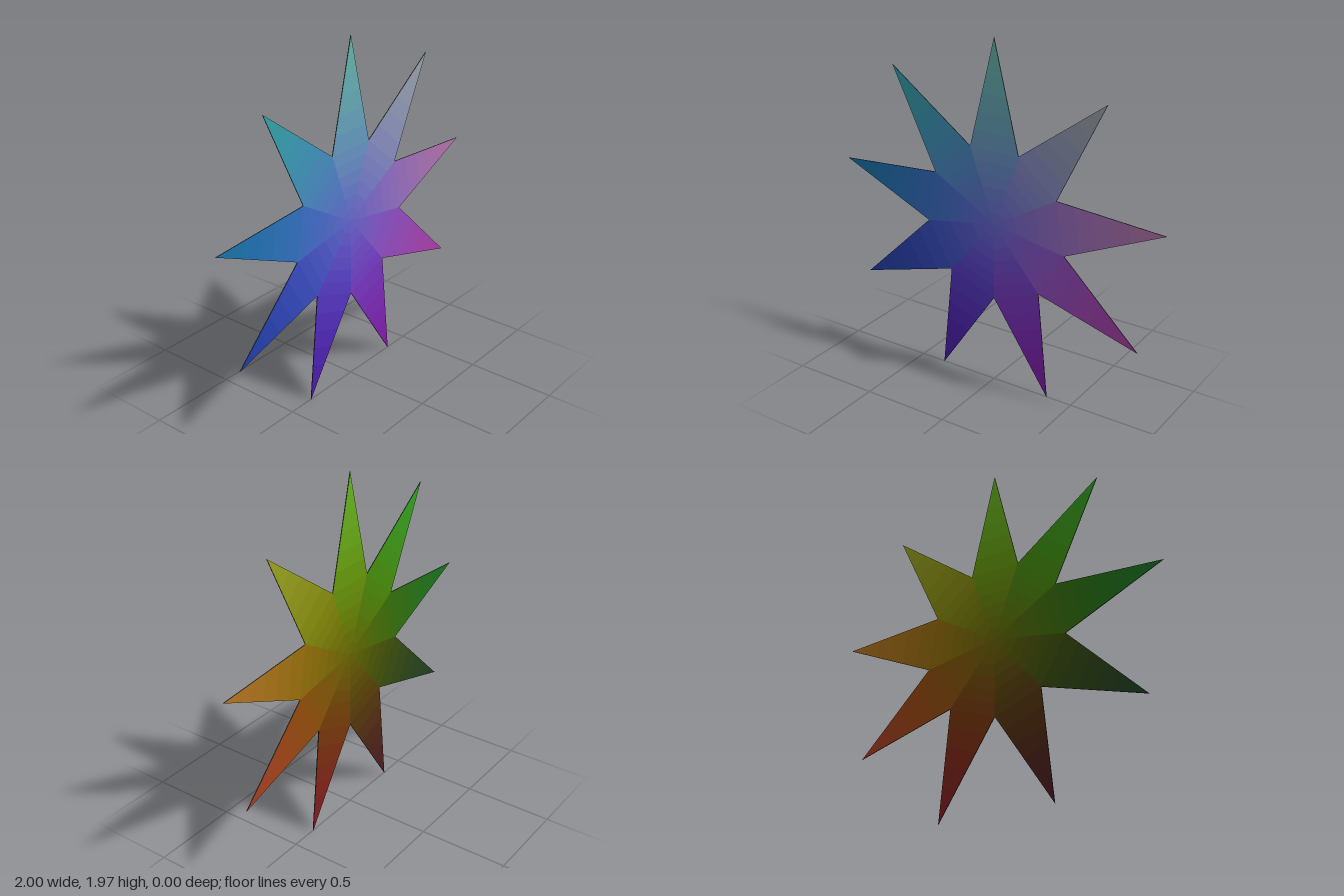
import * as THREE from 'three';

const POINTS = 9, OUTER = 1.015, INNER = 0.44, CENTRE_Y = 0.954, DEPTH = 0.004, BANDS = 6;

const polar = (radius, angle) => new THREE.Vector2(Math.cos(angle), Math.sin(angle)).multiplyScalar(radius);

// Tint follows a domed direction: red to +x, green upwards, blue to the front
function tint(x, y, facing) {
  const n = new THREE.Vector3(x * 1.25, y * 1.25, facing).normalize();
  return new THREE.Color()
    .setRGB(0.5 + n.x / 2, 0.5 + n.y / 2, 0.5 + n.z / 2, THREE.SRGBColorSpace)
    .multiplyScalar(0.62);
}

// One flat piece of the star, facing front (1) or back (-1)
function piece(name, corners, facing) {
  const geometry = new THREE.ShapeGeometry(new THREE.Shape(corners));
  if (facing < 0) geometry.rotateY(Math.PI);
  const middle = new THREE.Vector2();
  corners.forEach((c) => middle.addScaledVector(c, 1 / corners.length));
  const color = tint(middle.x * facing, middle.y, facing);
  const mesh = new THREE.Mesh(geometry, new THREE.MeshStandardMaterial({ color, side: THREE.DoubleSide }));
  mesh.name = name;
  return mesh;
}

// A full nine-pointed face: each point widens from the centre, then tapers to its tip
function starFace(name, facing) {
  const face = new THREE.Group();
  face.name = name;
  face.position.z = facing * DEPTH / 2;
  const half = Math.PI / POINTS, centre = new THREE.Vector2();
  for (let i = 0; i < POINTS; i++) {
    const angle = Math.PI / 2 + i * 2 * half;
    const right = polar(INNER, angle - half), left = polar(INNER, angle + half);
    const tip = polar(OUTER, angle);
    for (let b = 0; b < BANDS; b++) {
      const t0 = b / BANDS, t1 = (b + 1) / BANDS;
      for (const [part, end, from, to] of [['coreBand', centre, t1, t0], ['pointBand', tip, t0, t1]]) {
        const at = (side, t) => end.clone().lerp(side, part === 'coreBand' ? t : 1 - t);
        const [near, far] = part === 'coreBand' ? [to, from] : [from, to];
        const corners = [at(right, near), at(right, far), at(left, far), at(left, near)];
        if (part === 'coreBand' && b === 0) corners.pop();
        if (part === 'pointBand' && b === BANDS - 1) corners.splice(2, 1);
        face.add(piece(part, corners, facing));
      }
    }
  }
  return face;
}

// Thin edge strip: an open tube whose vertices alternate between valley and tip radius
function rim() {
  const sides = POINTS * 2;
  const geometry = new THREE.CylinderGeometry(1, 1, DEPTH, sides, 1, true).rotateX(Math.PI / 2);
  const position = geometry.attributes.position;
  for (let i = 0; i < position.count; i++) {
    const radius = (i % (sides + 1)) % 2 ? OUTER : INNER;
    position.setXY(i, position.getX(i) * radius, position.getY(i) * radius);
  }
  geometry.computeVertexNormals();
  const mesh = new THREE.Mesh(geometry, new THREE.MeshStandardMaterial({
    color: 0x3c4048, flatShading: true, side: THREE.DoubleSide,
  }));
  mesh.name = 'rim';
  return mesh;
}

export function createModel() {
  const star = new THREE.Group();
  star.name = 'star';
  star.add(starFace('frontFace', 1), starFace('backFace', -1), rim());
  star.position.y = CENTRE_Y;
  const model = new THREE.Group();
  model.add(star);
  return model;
}
